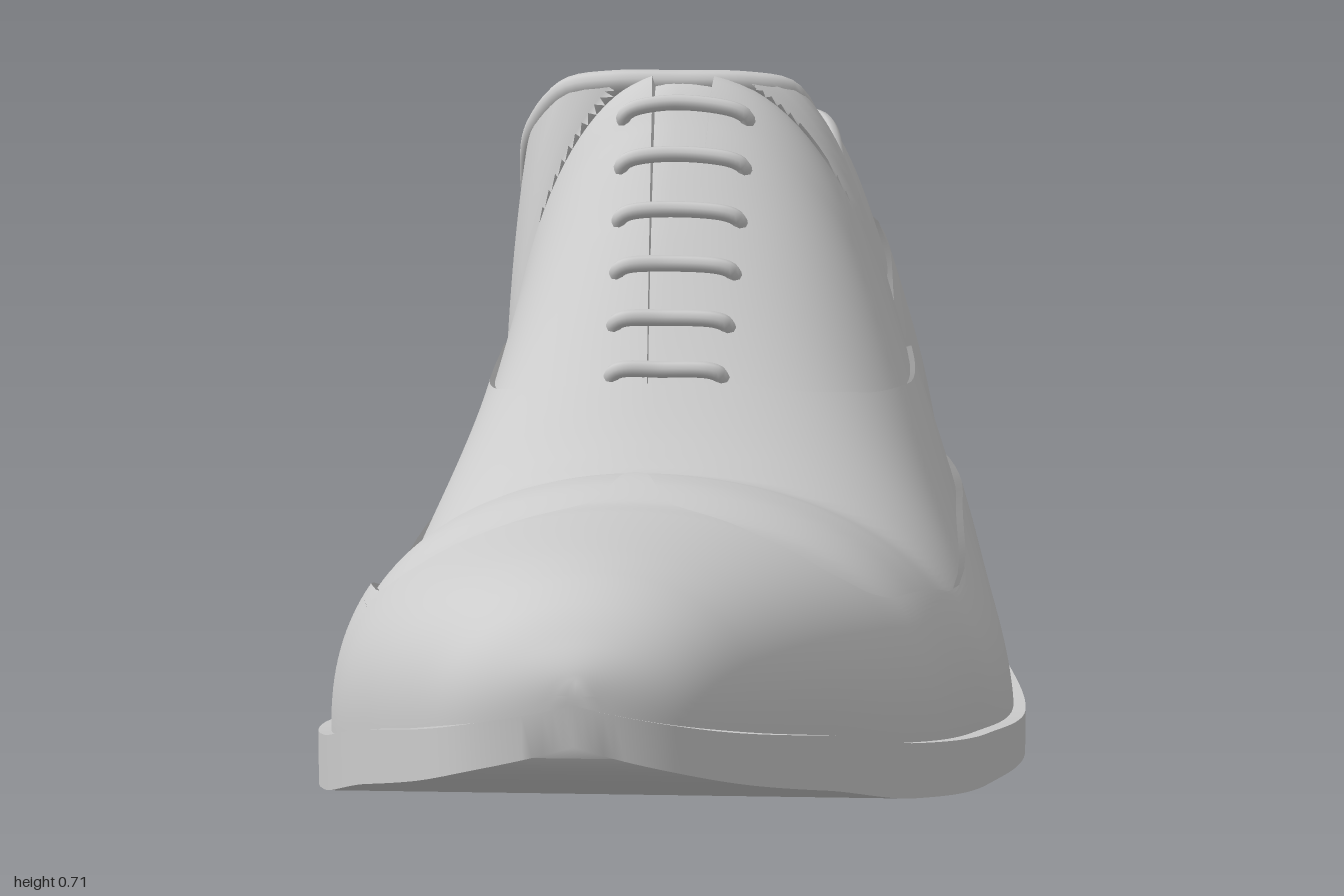
import * as THREE from 'three';
import { toCreasedNormals } from 'three/addons/utils/BufferGeometryUtils.js';

const mat = new THREE.MeshStandardMaterial({ color: 0xcccccc, side: THREE.DoubleSide });
const lerp = THREE.MathUtils.lerp;
const clamp = THREE.MathUtils.clamp;
const arc = z => Math.acos(clamp(z, -1, 1));

// Monotone cubic through [key, value] pairs, clamped at both ends
function curve(pairs, key = k => k) {
  const p = pairs.map(([k, v]) => [key(k), v]).sort((a, b) => a[0] - b[0]);
  const n = p.length;
  const d = p.slice(1).map((q, i) => (q[1] - p[i][1]) / (q[0] - p[i][0]));
  const m = p.map((_, i) => {
    if (i === 0) return d[0];
    if (i === n - 1) return d[n - 2];
    return d[i - 1] * d[i] <= 0 ? 0 : 2 * d[i - 1] * d[i] / (d[i - 1] + d[i]);
  });
  return k => {
    const x = clamp(key(k), p[0][0], p[n - 1][0]);
    let i = 0;
    while (i < n - 2 && x > p[i + 1][0]) i++;
    const h = p[i + 1][0] - p[i][0], t = (x - p[i][0]) / h, t2 = t * t, t3 = t2 * t;
    return (2 * t3 - 3 * t2 + 1) * p[i][1] + (t3 - 2 * t2 + t) * h * m[i]
      + (3 * t2 - 2 * t3) * p[i + 1][1] + (t3 - t2) * h * m[i + 1];
  };
}
const along = pairs => curve(pairs, arc);

// Plan outline of the sole, and heights along the length
const outLeft = along([[1, -.06], [.97, .045], [.9, .11], [.8, .17], [.6, .256], [.4, .325], [.2, .365],
  [0, .343], [-.2, .29], [-.4, .272], [-.7, .272], [-.85, .245], [-.95, .15], [-1, -.01]]);
const outRight = along([[1, -.06], [.97, -.165], [.9, -.222], [.8, -.278], [.6, -.343], [.4, -.37], [.2, -.337],
  [0, -.285], [-.2, -.255], [-.4, -.26], [-.7, -.26], [-.85, -.235], [-.95, -.16], [-1, -.01]]);
const soleBottom = along([[1, .232], [.8, .14], [.6, .08], [.4, .042], [.2, .027], [0, .03], [-.2, .06], [-.36, .09]]);
const soleTop = along([[1, .272], [.8, .195], [.6, .137], [.4, .097], [.2, .075], [0, .08], [-.2, .115],
  [-.36, .14], [-.5, .15], [-1, .15]]);
// Ridge / collar line: centre, height and half opening
const topCentre = along([[1, -.06], [.6, -.045], [.2, -.032], [-.17, -.03], [-.28, -.042], [-.8, -.04], [-1, -.01]]);
const topHeight = along([[1, .275], [.985, .3], [.95, .325], [.9, .34], [.82, .345], [.6, .337], [.53, .332], [.45, .348],
  [.4, .345], [.32, .33], [.27, .35], [.18, .41], [0, .565], [-.1, .655], [-.165, .7], [-.3, .59], [-.45, .52],
  [-.6, .5], [-.75, .52], [-.9, .558], [-1, .565]]);
const opening = along([[1, 0], [-.17, 0], [-.178, .07], [-.2, .12], [-.25, .152], [-.4, .168], [-.7, .168],
  [-.84, .155], [-.92, .135], [-.97, .095], [-1, 0]]);
const backScale = curve([[.15, .945], [.27, .975], [.4, .94], [.5, .88], [.575, .82]]);
// The left wall leans in more than the right one around the ankle
const lean = along([[1, 0], [.4, 0], [.05, .12], [-.6, .12], [-1, 0]]);

// Upper surface: z along the shoe, v from the welt (0) to the ridge or collar (1)
function surface(z, v, side) {
  const a = Math.max(v, 0) * Math.PI / 2;
  const c = topCentre(z), o = opening(z);
  const mid = (outLeft(z) + outRight(z)) / 2;
  const edge = lerp(mid, side > 0 ? outLeft(z) : outRight(z), .89);
  const taper = side > 0 ? 1 - lean(z) * Math.sin(2 * a) : 1;
  const wall = (edge - c) * side * Math.cos(a) * taper;
  const half = o > 1e-5 ? Math.hypot(wall, o * Math.sin(a)) : wall;
  const y = lerp(soleTop(z) - .008, topHeight(z), Math.pow(Math.abs(Math.sin(a)), .8));
  const zz = z > 0 ? z * .945 : z < -.5 ? -.5 + (z + .5) * backScale(y) : z;
  return new THREE.Vector3(c + side * half, y, zz);
}
function normal(z, v, side) {
  const zc = clamp(z, -.998, .998), e = .0015;
  const vc = Math.min(v, opening(zc) > 1e-5 ? .96 : 1);
  const dv = surface(zc, vc + e, side).sub(surface(zc, Math.max(vc - e, 0), side));
  const dz = surface(zc + e, vc, side).sub(surface(zc - e, vc, side));
  const n = dv.cross(dz).multiplyScalar(side).normalize();
  // Both halves share one normal where they meet at toe and heel
  if (Math.abs(z) > .9995) n.setX(0).normalize();
  return n;
}
const lifted = (z, v, side, off) => surface(z, v, side).addScaledVector(normal(z, v, side), off);

// Leather layer: at(s, t) gives [z, v]; the cut edge at s = 1 gets a small step down
function layer(at, side, off, ns, nt) {
  const pos = [], nor = [], idx = [], w = nt + 1;
  const put = (p, n) => { pos.push(p.x, p.y, p.z); nor.push(n.x, n.y, n.z); };
  for (let i = 0; i <= ns; i++) for (let j = 0; j <= nt; j++) {
    const [z, v] = at(i / ns, j / nt);
    put(lifted(z, v, side, off), normal(z, v, side));
  }
  for (const drop of [0, off]) for (let j = 0; j <= nt && off > 0; j++) {
    const [z, v] = at(1, j / nt), [z2, v2] = at(1 - 1 / ns, j / nt);
    const n = surface(z, v, side).sub(surface(z2, v2, side)).normalize();
    put(lifted(z, v, side, off - drop), n);
  }
  // Pick the winding that agrees with the outward normal
  const k = (ns >> 1) * w + (nt >> 1);
  const P = i => new THREE.Vector3().fromArray(pos, 3 * i);
  const face = P(k + w).sub(P(k)).cross(P(k + 1).sub(P(k)));
  const flip = face.dot(new THREE.Vector3().fromArray(nor, 3 * k)) < 0;
  const rows = off > 0 ? ns + 2 : ns;
  for (let i = 0; i < rows; i++) for (let j = 0; j < nt; j++) {
    if (i === ns) continue;
    const a = i * w + j, b = a + w;
    idx.push(...(flip ? [a, a + 1, b, a + 1, b + 1, b] : [a, b, a + 1, a + 1, b, b + 1]));
  }
  const g = new THREE.BufferGeometry();
  g.setAttribute('position', new THREE.Float32BufferAttribute(pos, 3));
  g.setAttribute('normal', new THREE.Float32BufferAttribute(nor, 3));
  g.setIndex(idx);
  return g;
}

// Solid with the sole outline between two heights
function slab(zFront, zBack, low, high, n = 90) {
  const pos = [], idx = [];
  for (let i = 0; i <= n; i++) {
    const z = Math.cos(lerp(arc(zFront), arc(zBack), i / n));
    const l = outRight(z), r = outLeft(z), y0 = low(z), y1 = high(z);
    pos.push(l, y0, z, r, y0, z, r, y1, z, l, y1, z);
    for (let k = 0; k < 4 && i < n; k++) {
      const a = 4 * i + k, b = 4 * i + (k + 1) % 4;
      idx.push(a, a + 4, b, b, a + 4, b + 4);
    }
  }
  const e = 4 * n;
  idx.push(0, 1, 2, 0, 2, 3, e, e + 2, e + 1, e, e + 3, e + 2);
  const g = new THREE.BufferGeometry();
  g.setAttribute('position', new THREE.Float32BufferAttribute(pos, 3));
  g.setIndex(idx);
  return toCreasedNormals(g, .6);
}

export function createModel() {
  const shoe = new THREE.Group();
  shoe.name = 'shoe';
  const add = (name, geo) => {
    const m = new THREE.Mesh(geo, mat);
    m.name = name;
    shoe.add(m);
  };

  add('sole', slab(1, -.36, soleBottom, soleTop));
  add('heel', slab(-.335, -1, () => 0, () => .15));

  // Cut edges of the leather layers, as z for each v
  const wingEdge = curve([[0, -.3], [.06, -.27], [.13, -.17], [.2, 0], [.27, .2], [.33, .46], [.4, .57], [.52, .605],
    [.66, .6], [.8, .565], [.9, .525], [.95, .48], [.98, .45], [1, .445]]);
  const vampEdge = curve([[0, -.41], [.12, -.37], [.2, -.33], [.27, -.17], [.38, 0], [.55, .11], [.75, .165], [1, .185]]);
  const counterEdge = curve([[0, -.38], [.2, -.4], [.33, -.5], [.41, -.65], [.44, -.88], [.5, -.95], [.8, -.965], [1, -.95]]);
  // Gap between the two facings, closed behind the tongue
  const facingTop = z => z < -.175 ? 1 : 1 - lerp(.025, .085, clamp((.2 - z) / .37, 0, 1));
  const from = (end, edge) => (s, t) => [Math.cos(lerp(arc(end), arc(edge(t)), s)), t];

  for (const [side, label] of [[1, 'left'], [-1, 'right']]) {
    add(label + 'LiningAndTongue', layer((s, t) => [Math.cos(Math.PI * t), s], side, 0, 28, 180));
    add(label + 'Quarter', layer((s, t) => {
      const z = Math.cos(lerp(arc(.26), Math.PI, t));
      return [z, s * facingTop(z)];
    }, side, .012, 28, 220));
    add(label + 'Vamp', layer(from(1, vampEdge), side, .018, 70, 70));
    add(label + 'WingTip', layer(from(1, wingEdge), side, .026, 70, 100));
    add(label + 'HeelCounter', layer(from(-1, counterEdge), side, .02, 40, 80));
  }

  // Rolled collar rim
  const rimZ = [-.178, -.2, -.25, -.35, -.5, -.65, -.78, -.88, -.94, -.98];
  const rimPoint = (z, side) => surface(z, 1, side).add(new THREE.Vector3(side * .005, 0, 0));
  const rim = [rimPoint(-.172, 0), ...rimZ.map(z => rimPoint(z, 1)), rimPoint(-1, 0),
    ...rimZ.slice().reverse().map(z => rimPoint(z, -1))];
  add('collarRim', new THREE.TubeGeometry(new THREE.CatmullRomCurve3(rim, true), 160, .013, 10, true));

  // Six lace bars whose ends sink into the facings
  for (let i = 0; i < 6; i++) {
    const z = lerp(.165, -.12, i / 5), half = lerp(.125, .175, i / 5);
    const pts = [[-1, .004], [-.93, .016], [-.75, .02], [0, .016], [.75, .02], [.93, .016], [1, .004]]
      .map(([f, off]) => lifted(z, 1 - Math.abs(f) * half, f < 0 ? -1 : 1, off));
    add('lace' + (i + 1), new THREE.TubeGeometry(new THREE.CatmullRomCurve3(pts), 32, .009, 8));
  }
  return shoe;
}
